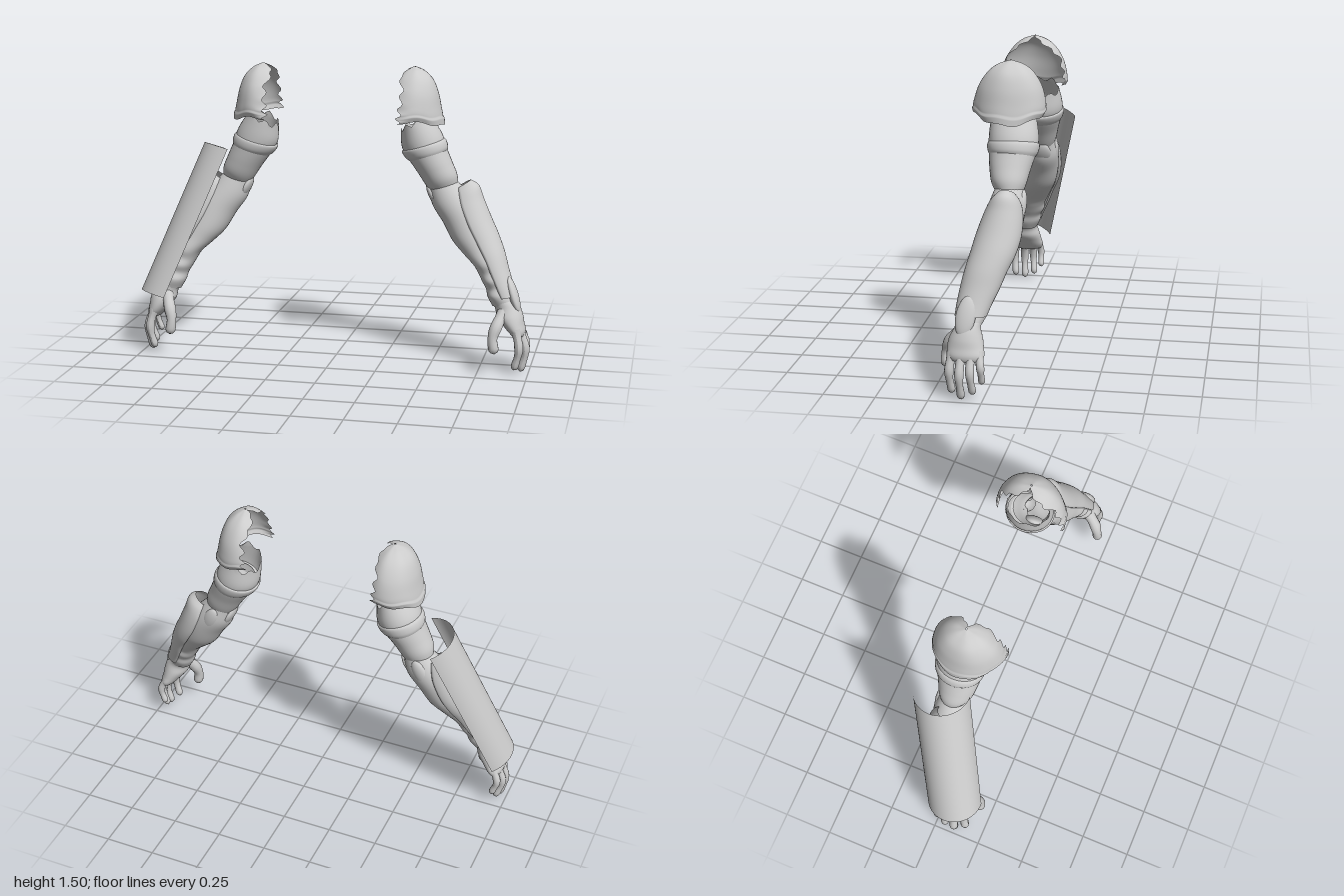
import * as THREE from 'three';

const material = new THREE.MeshStandardMaterial({ color: 0xcccccc, side: THREE.DoubleSide });
const V = (x, y, z) => new THREE.Vector3(x, y, z);

// Smooth surface from a rule point(t, s), t running down the rows and s across them.
function surface(rows, cols, point, closed = false) {
  const pos = [], idx = [], n = closed ? cols : cols + 1;
  for (let i = 0; i <= rows; i++)
    for (let j = 0; j < n; j++) pos.push(...point(i / rows, j / cols).toArray());
  for (let i = 0; i < rows; i++)
    for (let j = 0; j < cols; j++) {
      const a = i * n + j, b = i * n + (j + 1) % n, c = a + n, d = b + n;
      idx.push(a, b, c, b, d, c);
    }
  const g = new THREE.BufferGeometry();
  g.setAttribute('position', new THREE.Float32BufferAttribute(pos, 3));
  g.setIndex(idx);
  g.computeVertexNormals();
  return g;
}

// Oval cross-sections [innerX, innerY, outerX, outerY, frontZ, backZ] joined smoothly.
// arc < PI leaves the inner side open and tucks the long edges inward.
function loft(sections, { rows = 40, cols = 32, arc = Math.PI, ragged = 0 } = {}) {
  const closed = arc === Math.PI;
  const inner = new THREE.CatmullRomCurve3(sections.map(s => V(s[0], s[1], s[5])));
  const outer = new THREE.CatmullRomCurve3(sections.map(s => V(s[2], s[3], s[4])));
  return surface(rows, cols, (t, s) => {
    const p = inner.getPoint(t), q = outer.getPoint(t), a = (s * 2 - 1) * arc;
    const k = closed || (s > 0 && s < 1) ? 1 : 0.88;
    const c = Math.cos(a) * k, d = Math.sin(a) * k;
    const tear = t === 0 ? ragged * Math.sin(a * 7) : 0;
    return V((p.x + q.x) / 2 + (q.x - p.x) / 2 * c,
      (p.y + q.y) / 2 + (q.y - p.y) / 2 * c + tear,
      (p.z + q.z) / 2 + (q.z - p.z) / 2 * d);
  }, closed);
}

// Tapered tube with knuckle swellings and a rounded tip.
function finger(points, radius) {
  const curve = new THREE.CatmullRomCurve3(points.map(p => V(...p)));
  const rows = 24, sides = 12;
  const g = new THREE.TubeGeometry(curve, rows, radius, sides);
  const pos = g.attributes.position, v = V(0, 0, 0);
  for (let i = 0; i <= rows; i++) {
    const t = i / rows, centre = curve.getPointAt(t);
    const tip = t > 0.88 ? Math.sqrt(Math.max(0, 1 - ((t - 0.88) / 0.12) ** 2)) : 1;
    const k = (1 - 0.3 * t + 0.06 * Math.cos(t * 14)) * tip;
    for (let j = 0; j <= sides; j++) {
      const n = i * (sides + 1) + j;
      v.fromBufferAttribute(pos, n).sub(centre).multiplyScalar(k).add(centre);
      pos.setXYZ(n, v.x, v.y, v.z);
    }
  }
  g.computeVertexNormals();
  return g;
}

// Flattened oval plate lying along the slope of the arm.
function plate(position, size, rotation) {
  const g = new THREE.SphereGeometry(1, 24, 16).scale(...size);
  g.rotateX(rotation[0]).rotateZ(rotation[1]);
  return g.translate(...position);
}

// Open shoulder shell: rings widen downward and stay open toward the body.
function shoulderCap() {
  const profile = new THREE.CatmullRomCurve3([
    V(0.004, 1.498, 0.004), V(0.05, 1.475, 0.065), V(0.09, 1.435, 0.11), V(0.117, 1.37, 0.147),
    V(0.132, 1.30, 0.165), V(0.142, 1.25, 0.168), V(0.146, 1.21, 0.152)]);
  return surface(36, 48, (t, s) => {
    const p = profile.getPoint(t), side = s * 2 - 1;
    const edge = Math.max(0, Math.abs(side) - 0.8) / 0.2;
    const open = THREE.MathUtils.lerp(Math.PI, 1.95, Math.min(1, t * 2.2));
    const a = side * (open + edge * 0.1 * Math.sin(t * 37 + side));
    const rim = t > 0.84 ? 1.035 : 1;
    const flap = Math.max(0, side - 0.55) * t * t;
    return V(0.39 + p.x * rim * Math.cos(a),
      p.y + t * t * 0.03 * Math.sin(a) ** 2 + t * 0.006 * Math.sin(a * 6),
      -0.04 + p.z * rim * Math.sin(a) + flap * 0.09);
  });
}

// Parts of the left arm.
function armParts() {
  return {
    shoulderCap: shoulderCap(),
    upperArm: loft([
      [.32, 1.18, .46, 1.26, .055, -.165], [.325, 1.09, .525, 1.16, .06, -.18],
      [.36, 1.03, .55, 1.09, .055, -.17], [.41, .96, .58, 1.02, .045, -.15],
      [.45, .90, .605, .96, .03, -.135], [.49, .85, .61, .91, 0, -.115]], { ragged: 0.014 }),
    upperArmBand: loft([
      [.35, 1.08, .50, 1.14, .04, -.17], [.325, 1.07, .54, 1.135, .064, -.185],
      [.345, 1.035, .555, 1.10, .061, -.18], [.39, 1.01, .55, 1.07, .04, -.16]], { rows: 20 }),
    forearm: loft([
      [.46, .88, .59, .94, .01, -.125], [.485, .80, .65, .88, .035, -.14],
      [.54, .72, .72, .80, .06, -.135], [.595, .63, .77, .70, .085, -.115],
      [.65, .575, .81, .62, .10, -.085], [.71, .52, .84, .55, .118, -.055],
      [.735, .48, .85, .51, .115, -.035], [.755, .445, .87, .475, .13, -.03],
      [.775, .41, .885, .435, .125, -.01], [.785, .375, .90, .40, .142, -.005],
      [.81, .33, .925, .36, .135, .015]], { rows: 60 }),
    forearmGuard: loft([
      [.57, .87, .675, .935, -.015, -.10], [.555, .835, .715, .91, .015, -.125],
      [.56, .79, .74, .85, .042, -.14], [.60, .70, .785, .75, .075, -.14],
      [.65, .62, .825, .67, .095, -.12], [.70, .55, .86, .59, .115, -.085],
      [.745, .48, .885, .51, .13, -.055], [.78, .42, .91, .44, .14, -.025],
      [.805, .37, .93, .39, .145, -.005]], { arc: 1.75 }),
    elbowPad: plate([.575, .83, -.118], [.04, .085, .025], [-.1, .45]),
    innerElbowPad: plate([.49, .85, -.055], [.025, .07, .055], [0, .5]),
    wristPlate: plate([.915, .39, .085], [.024, .098, .047], [-.15, .33]),
    hand: loft([
      [.80, .36, .915, .37, .135, .012], [.825, .32, .945, .34, .142, .02],
      [.835, .28, .965, .29, .165, .008], [.865, .24, .972, .25, .172, 0],
      [.895, .205, .98, .215, .168, -.005], [.915, .185, .975, .19, .15, .01],
      [.942, .18, .95, .18, .09, .075]]),
    thumb: finger([[.875, .31, .11], [.845, .25, .168], [.828, .19, .192], [.838, .11, .195]], .033),
    indexFinger: finger([[.935, .23, .145], [.955, .13, .158], [.93, .02, .148]], .024),
    middleFinger: finger([[.945, .23, .10], [.982, .12, .106], [.957, 0, .10]], .024),
    ringFinger: finger([[.945, .23, .055], [.98, .13, .056], [.952, .025, .046]], .023),
    littleFinger: finger([[.935, .23, .02], [.965, .16, .009], [.94, .075, .005]], .021),
  };
}

// Mirror a geometry across x = 0, keeping its faces outward.
function mirrored(geometry) {
  const g = geometry.clone().scale(-1, 1, 1), index = g.index;
  for (let i = 0; i < index.count; i += 3) {
    const b = index.getX(i + 1);
    index.setX(i + 1, index.getX(i + 2));
    index.setX(i + 2, b);
  }
  return g;
}

// Curved shield sheet covering the outside of the right forearm.
function armShield() {
  const top = V(-.605, 1.04, -.09), bottom = V(-.905, .285, .085);
  const chord = V(.045, .02, .13), bulge = V(-.104, .037, .036);
  const half = 1.35;
  return surface(1, 32, (t, s) => {
    const a = (1 - 2 * s) * half;
    const depth = (Math.cos(a) - Math.cos(half)) / (1 - Math.cos(half));
    return top.clone().lerp(bottom, t)
      .addScaledVector(chord, Math.sin(a) / Math.sin(half)).addScaledVector(bulge, depth);
  });
}

export function createModel() {
  const model = new THREE.Group();
  const add = (parent, name, geometry) => {
    const mesh = new THREE.Mesh(geometry, material);
    mesh.name = name;
    parent.add(mesh);
  };
  const left = new THREE.Group(), right = new THREE.Group();
  left.name = 'leftArm';
  right.name = 'rightArm';
  for (const [name, geometry] of Object.entries(armParts())) {
    add(left, name, geometry);
    add(right, name, mirrored(geometry));
  }
  add(right, 'armShield', armShield());
  model.add(left, right);
  return model;
}
